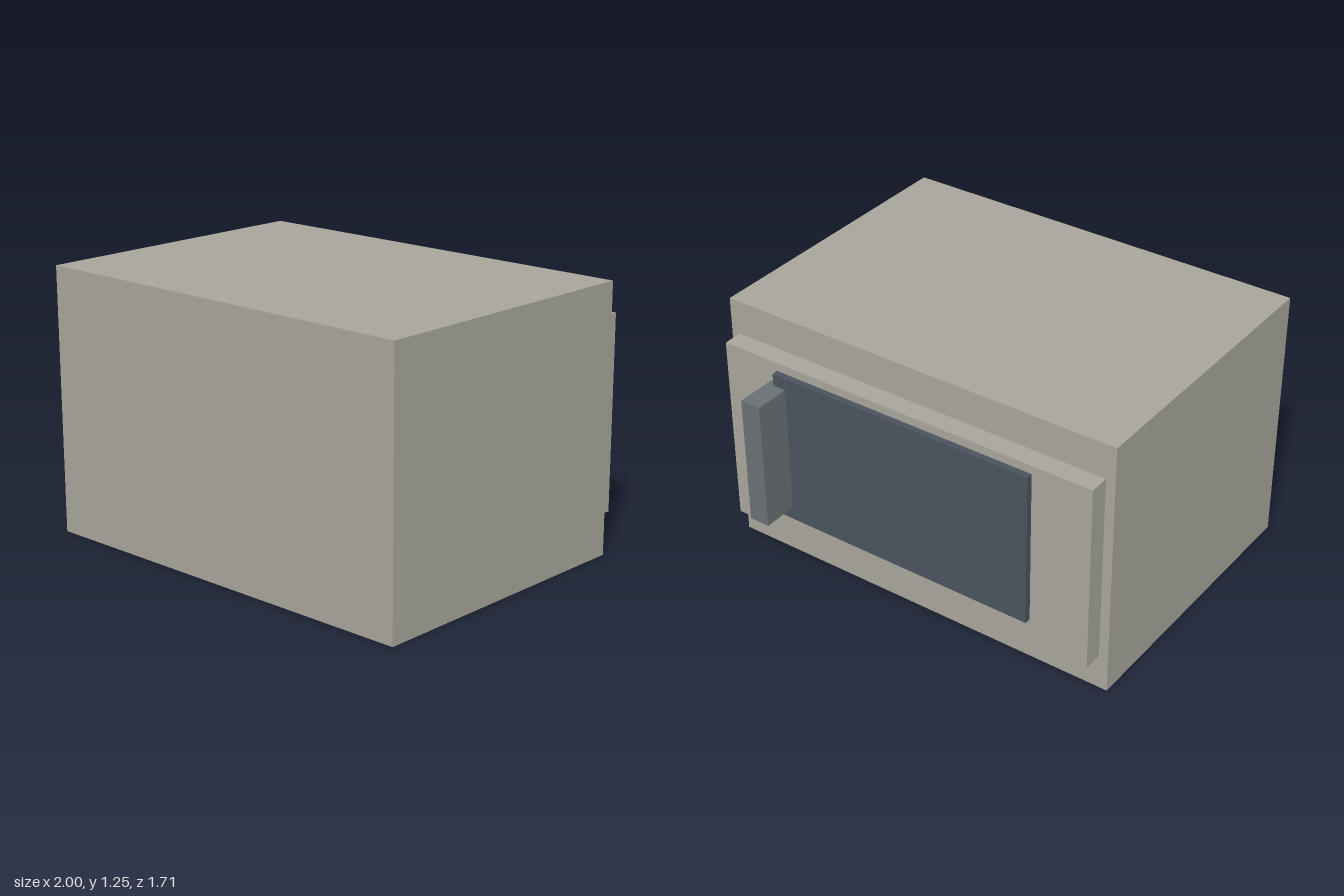
import * as THREE from 'three';

export function createModel() {
  const model = new THREE.Group();
  model.name = 'microwaveOven';

  const paint = (color) => new THREE.MeshStandardMaterial({ color });
  const casing = paint(0xa8a69b);
  const darkGlass = paint(0x4a545e);
  const handleGrey = paint(0x697074);

  // Adds a box spanning the given [min, max] ranges
  function addBox(name, [x0, x1], [y0, y1], [z0, z1], material) {
    const mesh = new THREE.Mesh(new THREE.BoxGeometry(x1 - x0, y1 - y0, z1 - z0), material);
    mesh.position.set((x0 + x1) / 2, (y0 + y1) / 2, (z0 + z1) / 2);
    mesh.name = name;
    model.add(mesh);
  }

  // Main housing
  addBox('body', [-1, 1], [0, 1.25], [-0.56, 0.855], casing);
  // Door panel, window and upright handle, stacked outward on the back
  addBox('door', [-0.955, 0.955], [0.17, 1.085], [-0.655, -0.56], casing);
  addBox('window', [-0.665, 0.665], [0.295, 1.045], [-0.685, -0.655], darkGlass);
  addBox('handle', [0.6, 0.7], [0.36, 0.985], [-0.855, -0.655], handleGrey);

  return model;
}
